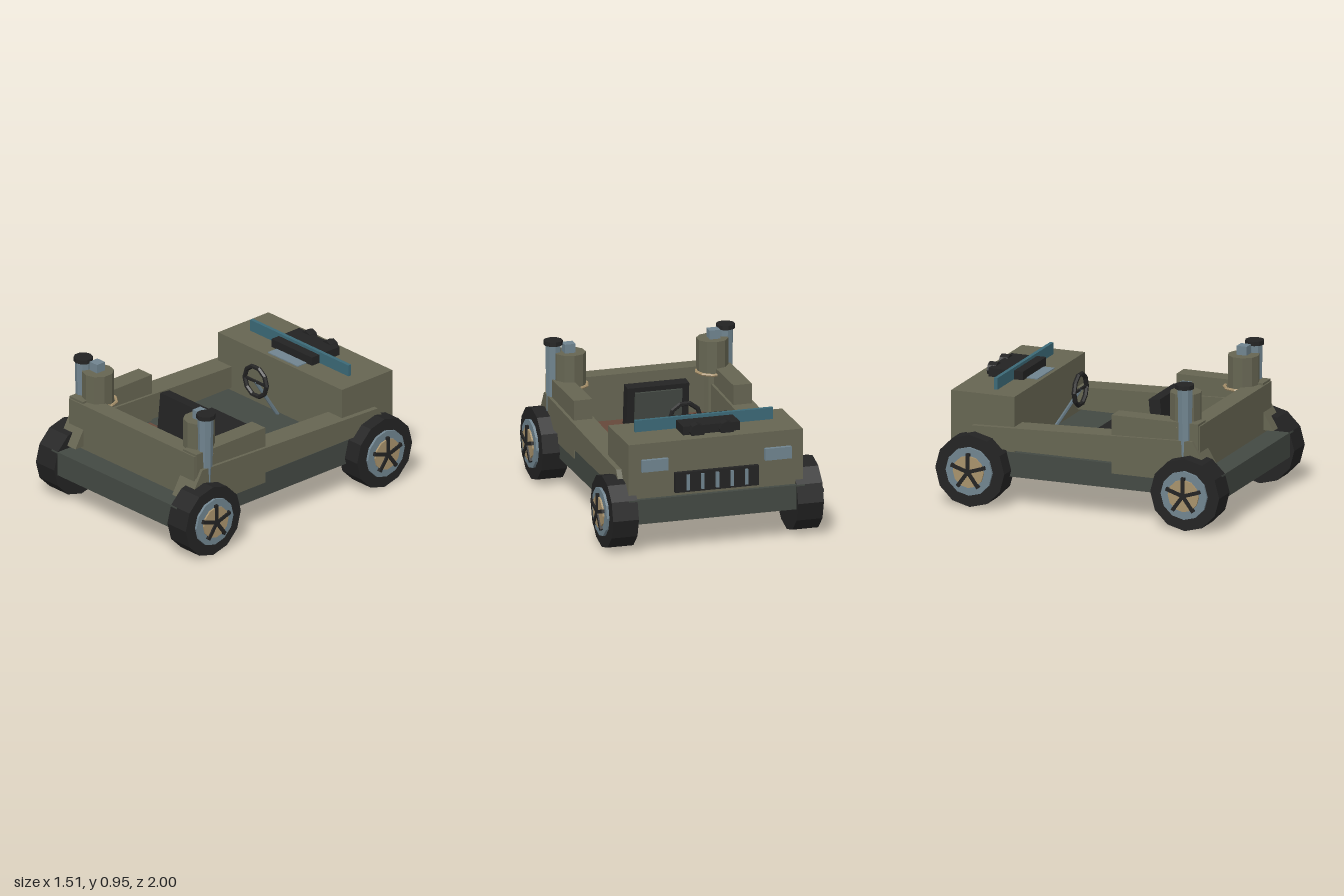
import * as THREE from 'three';

const paint = (name, color) => {
  const m = new THREE.MeshStandardMaterial({ color });
  m.name = name;
  m.flatShading = true;
  return m;
};

export function createModel() {
  const olive = paint('olive body', 0x666552);
  const frame = paint('dark green frame', 0x434943);
  const black = paint('black rubber', 0x232323);
  const steel = paint('blue grey steel', 0x70848f);
  const tan = paint('tan', 0xa8926c);
  const teal = paint('teal glass', 0x3b6977);
  const brown = paint('brown floor', 0x66483a);

  const model = new THREE.Group();
  model.name = 'utilityVehicle';

  const add = (name, geo, mat, x = 0, y = 0, z = 0, parent = model) => {
    const m = new THREE.Mesh(geo, mat);
    m.name = name;
    m.position.set(x, y, z);
    parent.add(m);
    return m;
  };
  // Box given by its limits on each axis
  const block = (name, mat, x0, x1, y0, y1, z0, z1) =>
    add(name, new THREE.BoxGeometry(Math.abs(x1 - x0), y1 - y0, z1 - z0), mat,
      (x0 + x1) / 2, (y0 + y1) / 2, (z0 + z1) / 2);
  const cyl = (name, mat, rTop, rBottom, y0, y1, x, z, sides) =>
    add(name, new THREE.CylinderGeometry(rTop, rBottom, y1 - y0, sides), mat, x, (y0 + y1) / 2, z);

  // Chassis, cargo floor, tailgate and hood
  block('chassis', frame, -0.6, 0.6, 0.2, 0.365, -0.97, 0.97);
  block('cargoFloor', brown, -0.46, 0.46, 0.362, 0.37, 0.23, 0.7);
  block('tailgate', olive, -0.6, 0.6, 0.365, 0.68, 0.69, 0.815);
  block('hood', olive, -0.593, 0.593, 0.365, 0.737, -0.94, -0.495);

  // Side panels with sloped ends, side boxes
  const panel = new THREE.Shape([
    [-0.885, 0.385], [0.87, 0.385], [0.78, 0.525], [-0.77, 0.58],
  ].map(p => new THREE.Vector2(...p)));
  for (const s of [1, -1]) {
    const geo = new THREE.ExtrudeGeometry(panel, { depth: 0.165, bevelEnabled: false });
    geo.rotateY(Math.PI / 2); // shape x runs towards -z
    add('sidePanel', geo, olive, s > 0 ? 0.463 : -0.628, 0, 0);
    block('sideBox', olive, s * 0.48, s * 0.607, 0.3, 0.694, 0.195, 0.805);
  }

  // Grille, slats and headlights on the hood end
  block('grille', black, -0.285, 0.285, 0.39, 0.525, -0.97, -0.93);
  for (let i = -2; i <= 2; i++)
    block('grilleSlat', steel, i * 0.1 - 0.01, i * 0.1 + 0.01, 0.405, 0.51, -0.983, -0.965);
  for (const s of [1, -1])
    block('headlight', steel, s * 0.33, s * 0.51, 0.55, 0.63, -0.968, -0.935);

  // Engine cover, windscreen and hood plate
  block('engineCover', black, -0.195, 0.192, 0.73, 0.795, -0.845, -0.6);
  for (const s of [1, -1]) {
    const intake = cyl('engineIntake', black, 0.052, 0.052, -0.03, 0.03, s * 0.1, -0.845, 8);
    intake.geometry.rotateX(Math.PI / 2);
    intake.position.y = 0.762;
  }
  block('windscreen', teal, -0.47, 0.47, 0.735, 0.815, -0.69, -0.665);
  block('hoodPlate', steel, -0.143, 0.143, 0.735, 0.744, -0.597, -0.52);

  // Steering wheel and column
  add('steeringWheel', new THREE.TorusGeometry(0.105, 0.016, 6, 10), black, 0, 0.66, -0.28);
  block('steeringSpoke', black, -0.1, 0.1, 0.652, 0.668, -0.287, -0.273);
  const column = new THREE.LineCurve3(new THREE.Vector3(0, 0.665, -0.275), new THREE.Vector3(0, 0.36, -0.475));
  add('steeringColumn', new THREE.TubeGeometry(column, 1, 0.012, 6), steel);

  // Seat with a slightly tilted back
  block('seatCushion', black, -0.215, 0.212, 0.365, 0.46, -0.09, 0.37);
  const back = new THREE.Group();
  back.name = 'seatBack';
  back.position.set(0, 0.575, 0.343);
  back.rotation.x = -0.1;
  model.add(back);
  add('backrest', new THREE.BoxGeometry(0.42, 0.275, 0.08), black, 0, 0, 0, back);
  add('backPad', new THREE.BoxGeometry(0.32, 0.2, 0.02), frame, 0, 0.005, -0.045, back);

  // Tanks and exhaust stacks in the rear corners
  for (const s of [1, -1]) {
    cyl('tankNeck', olive, 0.055, 0.055, 0.365, 0.66, s * 0.485, 0.665, 8);
    cyl('tank', olive, 0.105, 0.105, 0.645, 0.875, s * 0.485, 0.667, 10);
    block('tankValve', steel, s * 0.457, s * 0.53, 0.87, 0.935, 0.63, 0.7);
    add('tankRing', new THREE.TorusGeometry(0.113, 0.01, 6, 10).rotateX(Math.PI / 2), tan, s * 0.485, 0.657, 0.652);
    cyl('exhaustStack', steel, 0.053, 0.042, 0.4, 0.93, s * 0.587, 0.705, 8);
    cyl('stackCap', black, 0.063, 0.063, 0.923, 0.952, s * 0.587, 0.702, 10);
  }

  // Wheels: tyre, rim, hub disc and five spokes
  for (const s of [1, -1]) for (const z of [0.757, -0.757]) {
    const wheel = new THREE.Group();
    wheel.name = 'wheel';
    wheel.position.set(0, 0.243, z);
    model.add(wheel);
    const disc = (name, mat, r, x0, x1) =>
      add(name, new THREE.CylinderGeometry(r, r, x1 - x0, 12).rotateZ(Math.PI / 2), mat,
        s * (x0 + x1) / 2, 0, 0, wheel);
    disc('tyre', black, 0.243, 0.542, 0.718);
    disc('rim', steel, 0.163, 0.7, 0.735);
    disc('hubDisc', tan, 0.108, 0.72, 0.747);
    for (let i = 0; i < 5; i++) {
      const geo = new THREE.BoxGeometry(0.02, 0.125, 0.024).translate(0, 0.0625, 0);
      geo.rotateX(i * Math.PI * 2 / 5);
      add('wheelSpoke', geo, black, s * 0.747, 0, 0, wheel);
    }
  }
  return model;
}
